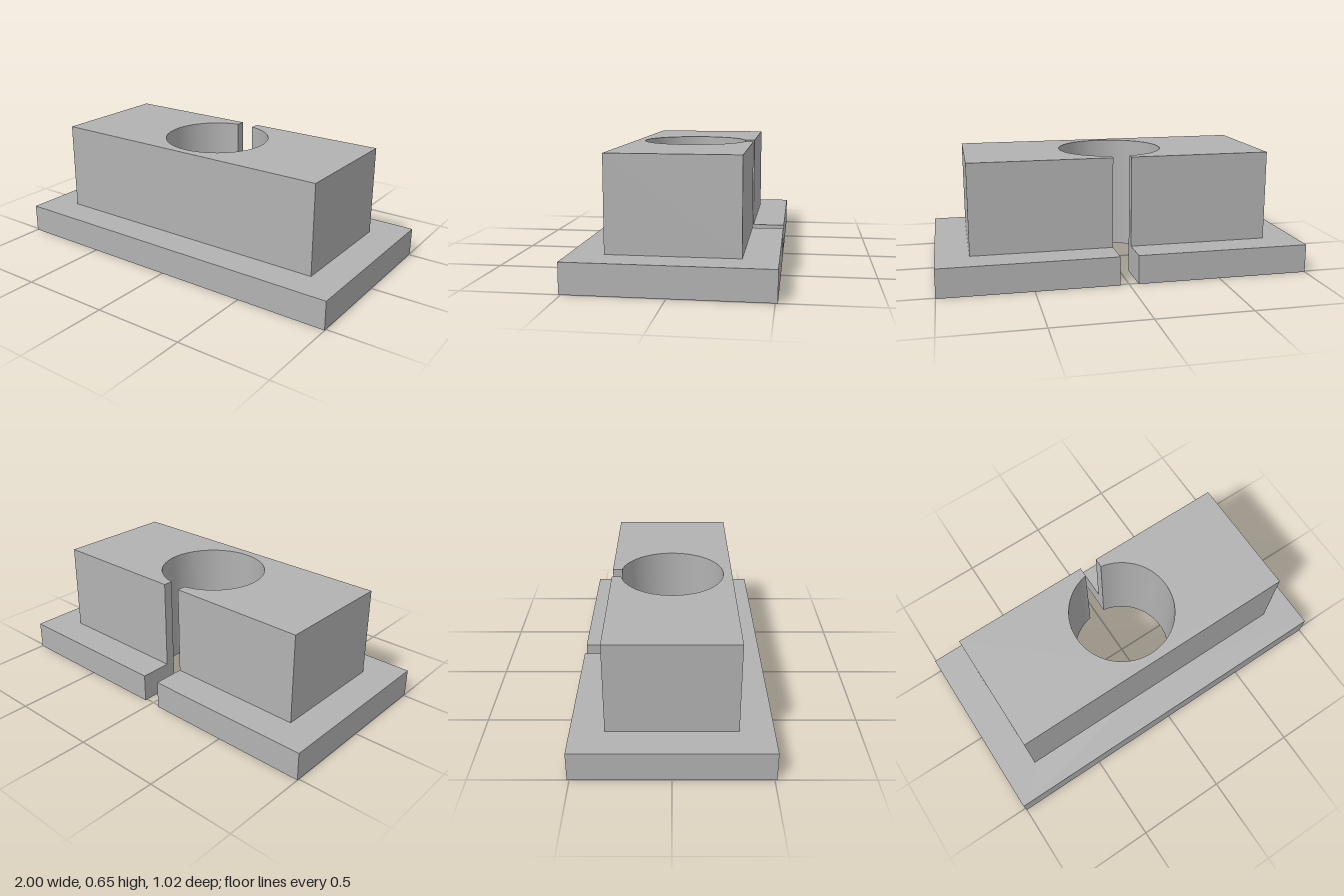
import * as THREE from 'three';
import { toCreasedNormals } from 'three/addons/utils/BufferGeometryUtils.js';

const BORE = 0.288; // bore radius
const SLOT = 0.05; // half width of the rear slot

// Rectangular slab with a central bore that opens through a slot to the back
function slottedSlab(halfX, halfZ, bottom, top) {
  const a = Math.acos(SLOT / BORE);
  const s = new THREE.Shape();
  s.moveTo(-halfX, -halfZ);
  s.lineTo(halfX, -halfZ);
  s.lineTo(halfX, halfZ);
  s.lineTo(SLOT, halfZ);
  s.lineTo(SLOT, BORE * Math.sin(a));
  s.absarc(0, 0, BORE, a, Math.PI - a - Math.PI * 2, true);
  s.lineTo(-SLOT, halfZ);
  s.lineTo(-halfX, halfZ);
  s.closePath();
  const g = new THREE.ExtrudeGeometry(s, {
    depth: top - bottom, bevelEnabled: false, curveSegments: 48,
  });
  g.rotateX(-Math.PI / 2);
  g.translate(0, bottom, 0);
  return toCreasedNormals(g, Math.PI / 6);
}

export function createModel() {
  const grey = new THREE.MeshStandardMaterial({ color: 0xb2b2b2 });
  grey.name = 'grey';
  const group = new THREE.Group();
  group.name = 'slottedBlock';

  const flange = new THREE.Mesh(slottedSlab(1, 0.512, 0, 0.157), grey);
  flange.name = 'baseFlange';
  const body = new THREE.Mesh(slottedSlab(0.82, 0.336, 0.157, 0.651), grey);
  body.name = 'upperBlock';
  group.add(flange, body);
  return group;
}
